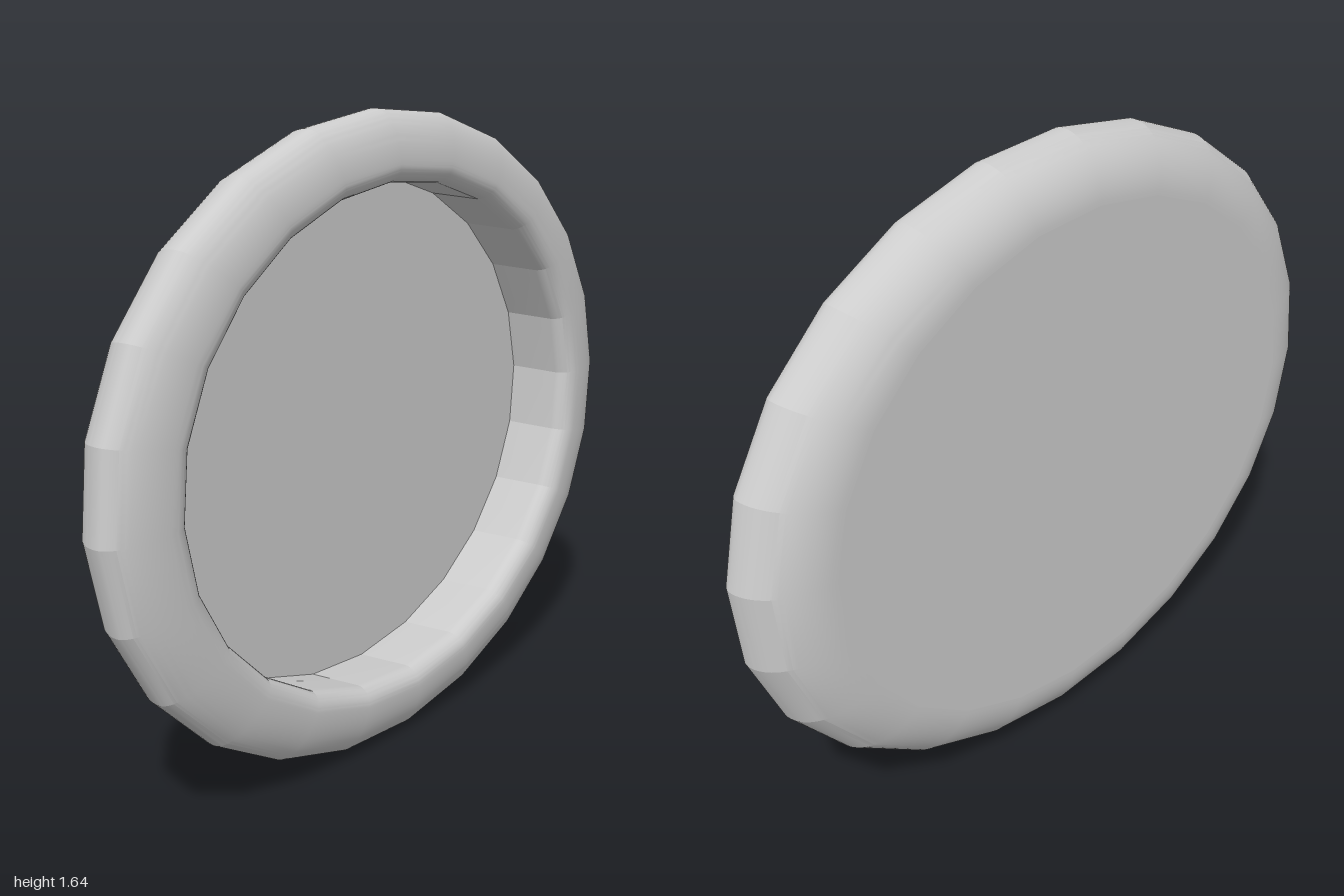
import * as THREE from 'three';
import { toCreasedNormals } from 'three/addons/utils/BufferGeometryUtils.js';

const SIDES = 24;
const START = THREE.MathUtils.degToRad(3); // slight turn of the polygon
const RX = 1.0, RY = 0.822;
const BACK = -0.105, FLOOR = -0.09;

// Quarter-ellipse points in (radius, depth), from angle a0 to a1 in degrees.
function arc(cr, cz, rr, rz, a0, a1, steps) {
  return Array.from({ length: steps + 1 }, (_, i) => {
    const a = THREE.MathUtils.degToRad(a0 + ((a1 - a0) * i) / steps);
    return new THREE.Vector2(cr + rr * Math.cos(a), cz + rz * Math.sin(a));
  });
}

// Stand a round part upright, facing +z, and squash it to the oval.
function toOval(geometry) {
  return geometry.rotateX(Math.PI / 2).scale(RX, RY, 1).translate(0, RY * 0.9986, 0);
}

export function createModel() {
  const group = new THREE.Group();
  const material = new THREE.MeshStandardMaterial({ color: 0xcccccc });

  // Rim: rounded back, outer edge, front, rolled lip, then the inner wall
  const profile = [
    ...arc(0.81, 0.03, 0.19, 0.135, -90, 0, 20),
    ...arc(0.84, 0.03, 0.16, 0.075, 0, 90, 20).slice(1),
    ...arc(0.84, 0.06, 0.055, 0.045, 90, 180, 12).slice(1),
    new THREE.Vector2(0.795, FLOOR),
  ];
  const rimGeometry = toOval(new THREE.LatheGeometry(profile, SIDES, START));
  const rim = new THREE.Mesh(toCreasedNormals(rimGeometry, 0.2), material);
  rim.name = 'rim';
  group.add(rim);

  // Plate: thin oval floor closing the back
  const plateGeometry = new THREE.CylinderGeometry(0.81, 0.81, FLOOR - BACK, SIDES, 1, false, START);
  plateGeometry.translate(0, (FLOOR + BACK) / 2, 0);
  const plate = new THREE.Mesh(toOval(plateGeometry), material);
  plate.name = 'backPlate';
  group.add(plate);

  return group;
}
